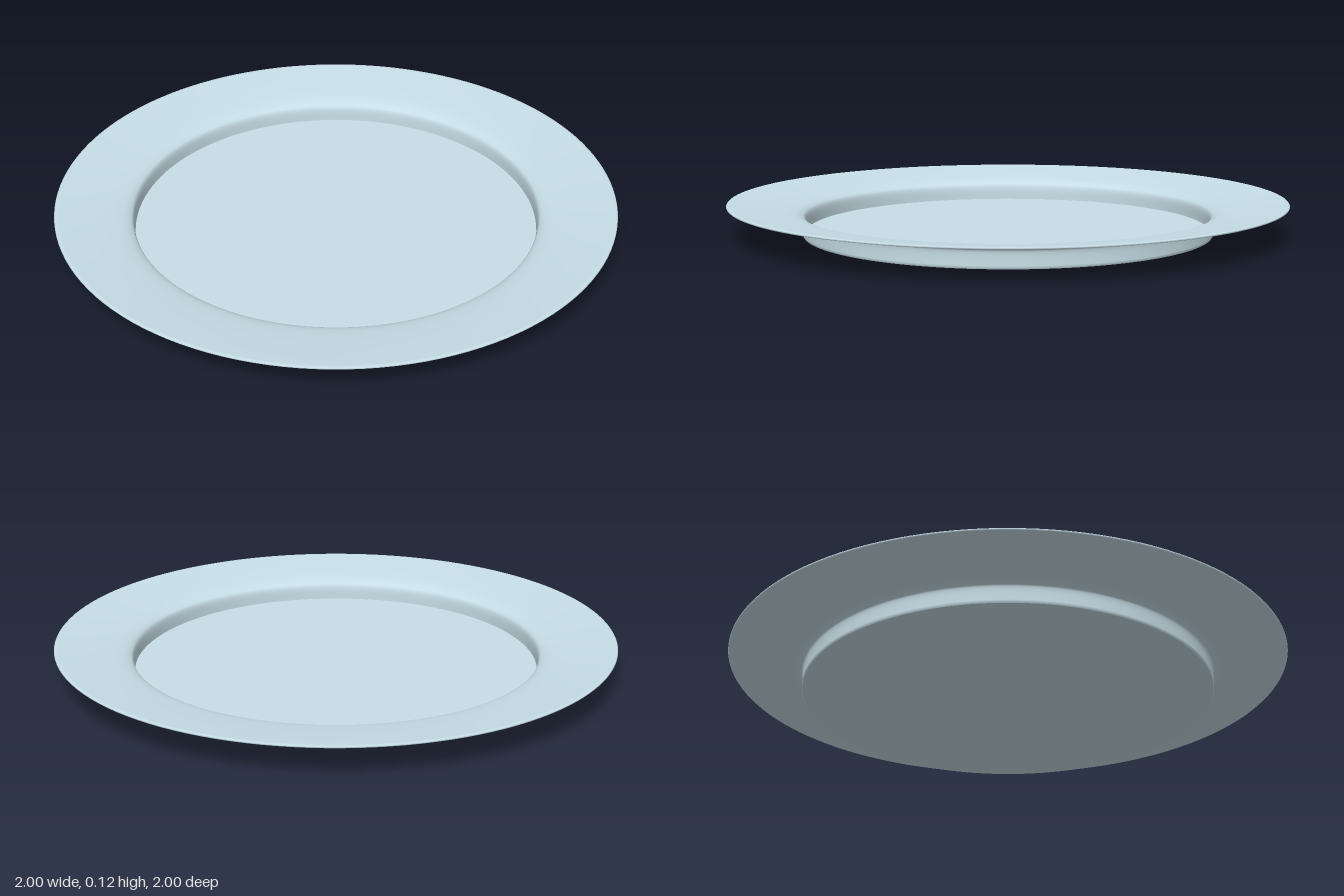
import * as THREE from 'three';

const SEGMENTS = 128;
const v = (x, y) => new THREE.Vector2(x, y);
const smooth = (pts, n) => new THREE.SplineCurve(pts.map(([x, y]) => v(x, y))).getPoints(n);

export function createModel() {
  const plate = new THREE.Group();
  plate.name = 'plate';
  const material = new THREE.MeshStandardMaterial({ color: 0xc6dde6 });

  const turn = (name, profile) => {
    const mesh = new THREE.Mesh(new THREE.LatheGeometry(profile, SEGMENTS), material);
    mesh.name = name;
    plate.add(mesh);
  };

  // Underside: foot wall flaring out into the rim
  const outer = smooth([
    [0.735, 0.005], [0.735, 0.052], [0.744, 0.067], [0.775, 0.079],
    [0.85, 0.092], [0.93, 0.102], [0.997, 0.111],
  ], 36);
  // Upper face: rim sloping in, then dropping down the well wall
  const inner = smooth([
    [0.99, 0.118], [0.93, 0.111], [0.85, 0.101], [0.775, 0.089],
    [0.738, 0.076], [0.724, 0.058], [0.721, 0.012],
  ], 36);

  // Wall and rim share one profile so the lip shades softly
  turn('rim', [v(0.732, 0), ...outer, v(1, 0.114), v(0.998, 0.117), ...inner]);
  // Flat discs meet the wall at hard edges
  turn('well', [v(0.721, 0.012), v(0, 0.012)]);
  turn('base', [v(0, 0), v(0.732, 0)]);

  return plate;
}
